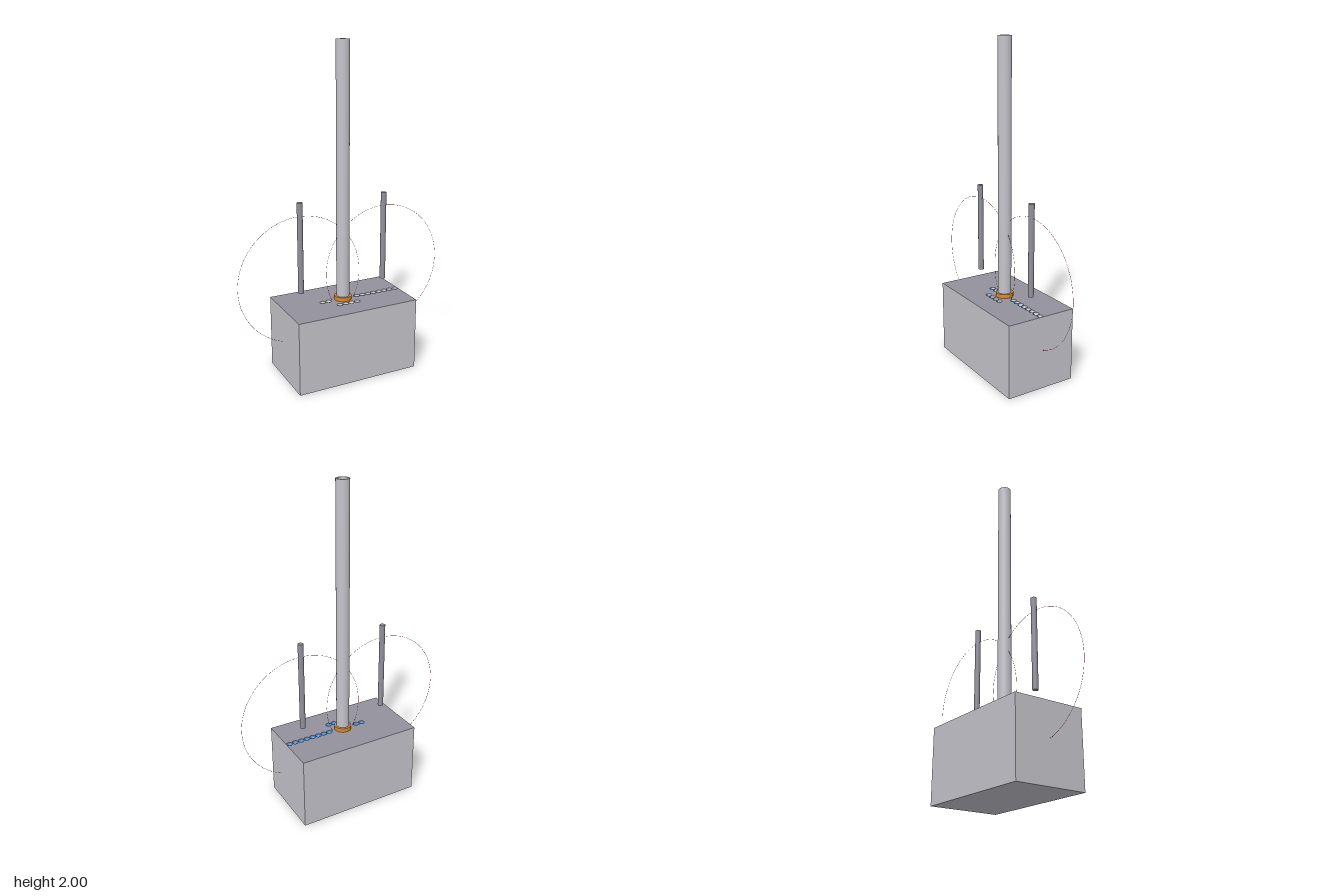
import * as THREE from 'three';

const mat = (name, color, side = THREE.FrontSide) => {
  const m = new THREE.MeshStandardMaterial({ color, side });
  m.name = name;
  return m;
};

export function createModel() {
  const model = new THREE.Group();
  const lightGrey = mat('light grey', 0xc4c4cb, THREE.DoubleSide);
  const midGrey = mat('mid grey', 0x92919c);
  const orange = mat('orange', 0xd98a2b);
  const blue = mat('blue', 0x4a8ad4, THREE.DoubleSide);
  const dark = mat('dark', 0x2c2c2e);
  const red = mat('red', 0xd02020);

  const add = (name, geometry, material, x = 0, y = 0, z = 0) => {
    const mesh = new THREE.Mesh(geometry, material);
    mesh.name = name;
    mesh.position.set(x, y, z);
    model.add(mesh);
    return mesh;
  };

  const W = 0.78, D = 0.445, top = 0.45, lidH = 0.02, dimpleR = 0.018;

  // Positions of the small dimples in the lid
  const dimples = [[-0.137, 0], [-0.098, 0]];
  for (let i = 0; i < 8; i++) dimples.push([0.097 + i * 0.039, 0]);
  for (let i = 0; i < 4; i++) dimples.push([-0.058 + i * 0.039, 0.077]);

  // Base box
  add('base', new THREE.BoxGeometry(W, top - lidH, D), lightGrey, 0, (top - lidH) / 2, 0);

  // Lid with round holes: darker top face, light rim
  const lid = new THREE.Shape([
    new THREE.Vector2(-W / 2, -D / 2), new THREE.Vector2(W / 2, -D / 2),
    new THREE.Vector2(W / 2, D / 2), new THREE.Vector2(-W / 2, D / 2),
  ]);
  for (const [x, z] of dimples) {
    const hole = new THREE.Path();
    hole.absarc(x, -z, dimpleR, 0, Math.PI * 2, true);
    lid.holes.push(hole);
  }
  const lidGeo = new THREE.ExtrudeGeometry(lid, { depth: lidH, bevelEnabled: false, curveSegments: 12 });
  lidGeo.rotateX(-Math.PI / 2);
  add('lid', lidGeo, [midGrey, lightGrey], 0, top - lidH, 0);

  // Bowl-shaped liners, blue on the front half and grey on the back half
  const half = (start) => new THREE.SphereGeometry(dimpleR, 12, 6, start, Math.PI, Math.PI / 2, Math.PI / 2);
  const frontHalf = half(0), backHalf = half(Math.PI);
  for (const [x, z] of dimples) {
    add('dimpleFront', frontHalf, blue, x, top, z);
    add('dimpleBack', backHalf, lightGrey, x, top, z);
  }

  // Collar round the foot of the mast
  add('collar', new THREE.CylinderGeometry(0.053, 0.053, 0.025, 32), orange, 0, top + 0.0125, 0);

  // Hollow mast with a dark core
  const profile = [[0.04, top], [0.04, 2], [0.04, 2], [0.031, 2], [0.031, 2], [0.031, 1.88]];
  add('mast', new THREE.LatheGeometry(profile.map(([r, y]) => new THREE.Vector2(r, y)), 32), lightGrey);
  add('mastCore', new THREE.CylinderGeometry(0.031, 0.031, 0.02, 32), dark, 0, 1.89, 0);

  // Side rods, each with a hair-thin hoop
  for (const side of [-1, 1]) {
    add('sideRod', new THREE.CylinderGeometry(0.017, 0.017, 0.555, 20), midGrey, side * 0.278, 0.815, 0);
    add('hoop', new THREE.TorusGeometry(0.39, 0.0007, 6, 72), red, side * 0.278, 0.62, 0);
  }
  return model;
}
